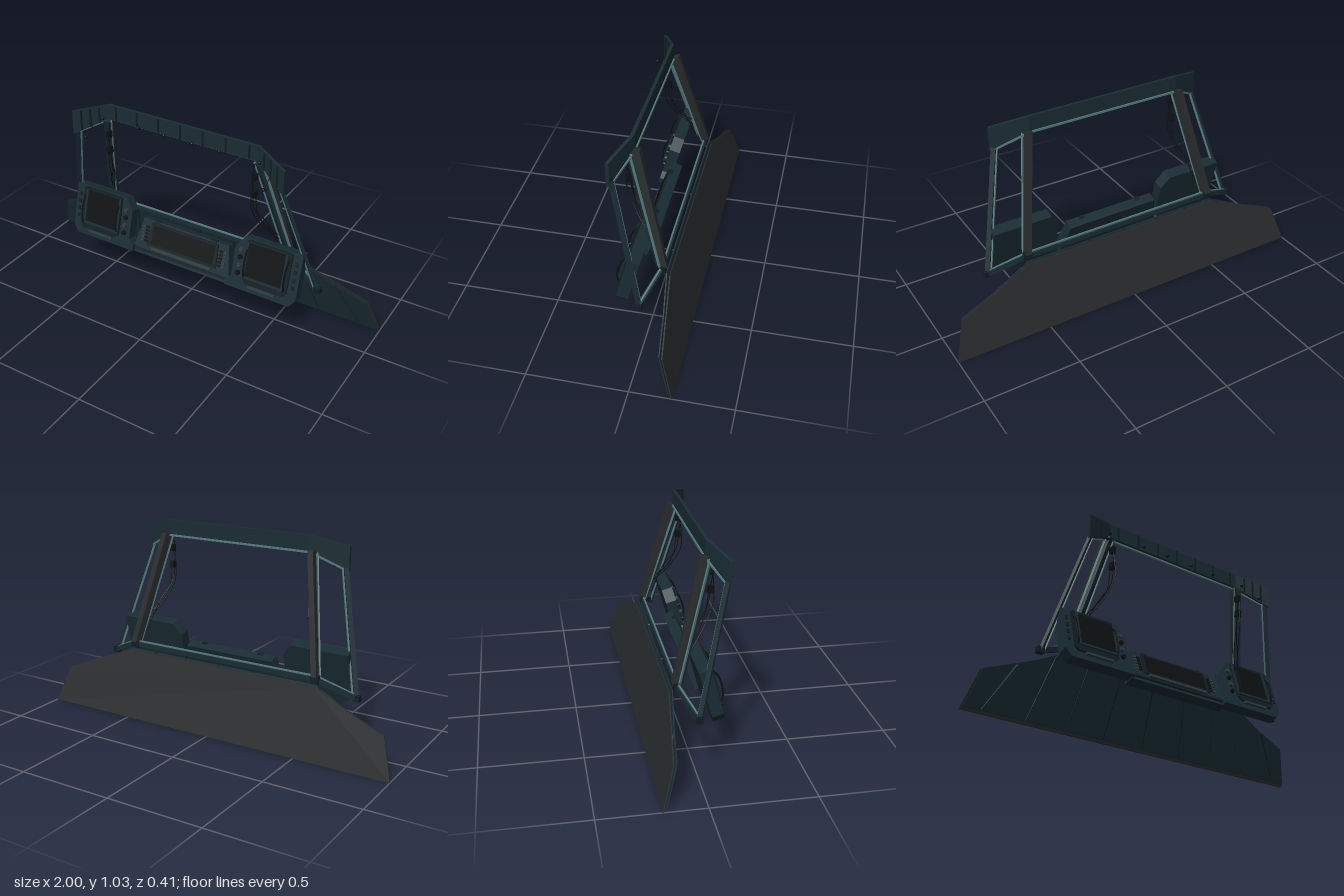
import * as THREE from 'three';
import { ConvexGeometry } from 'three/addons/geometries/ConvexGeometry.js';

const mat = (color) => new THREE.MeshStandardMaterial({ color, flatShading: true });
const teal = mat(0x1a2c34), dark = mat(0x121d23), grey = mat(0x282b2d);
const trim = mat(0x567a7e), black = mat(0x0d1011), knobMat = mat(0x2c3a40);
const V = (x, y, z) => new THREE.Vector3(x, y, z);

function add(parent, name, geometry, material, x = 0, y = 0, z = 0) {
  const m = new THREE.Mesh(geometry, material);
  m.name = name;
  m.position.set(x, y, z);
  parent.add(m);
  return m;
}
const box = (p, name, w, h, d, material, x, y, z) => add(p, name, new THREE.BoxGeometry(w, h, d), material, x, y, z);

// Solid hull around a set of corner points, thickened by an offset
function slab(parent, name, corners, offset, material) {
  const pts = corners.map((c) => V(...c));
  return add(parent, name, new ConvexGeometry([...pts, ...pts.map((p) => p.clone().add(V(...offset)))]), material);
}

// Straight bar with a rectangular section between two points
function bar(parent, name, a, b, w, d, material) {
  const A = V(...a), B = V(...b);
  const m = box(parent, name, w, d, A.distanceTo(B), material);
  m.position.copy(A).add(B).multiplyScalar(0.5);
  m.lookAt(B);
  return m;
}

function plate(parent, name, outline, depth, material, z = 0) {
  const shape = new THREE.Shape(outline.map(([x, y]) => new THREE.Vector2(x, y)));
  const g = new THREE.ExtrudeGeometry(shape, { depth, bevelEnabled: false });
  g.translate(0, 0, z - depth);
  return add(parent, name, g, material);
}

function wire(parent, name, points, r = 0.0025) {
  const curve = new THREE.CatmullRomCurve3(points.map((p) => V(...p)));
  return add(parent, name, new THREE.TubeGeometry(curve, 16, r, 5), black);
}

// Sloping apron: a plain rear skin and a segmented front skin
function buildApron(root) {
  const g = new THREE.Group();
  g.name = 'apron';
  root.add(g);
  const half = [[0, 0], [1, 0], [0.94, 0.19], [0.7, 0.275], [0.55, 0.345], [0, 0.345]];
  const z = (y) => -0.206 + 0.3 * y;
  const full = [...half.slice(1, 5), ...half.slice(1, 5).reverse().map(([x, y]) => [-x, y])];
  slab(g, 'rearSkin', full.map(([x, y]) => [x, y, z(y)]), [0, 0, 0.006], grey);
  const top = (x) => {
    if (x <= 0.55) return 0.35;
    return x <= 0.7 ? 0.35 - (x - 0.55) * 0.5 : 0.275 - (x - 0.7) * 0.354;
  };
  // Seams lean outwards towards the bottom: [bottom x, top x]
  const seams = [[0, 0], [0.235, 0.2], [0.45, 0.39], [0.67, 0.58], [0.9, 0.77], [0.99, 0.935]];
  for (const s of [-1, 1]) {
    for (let i = 0; i < 5; i++) {
      const [b0, t0] = seams[i], [b1, t1] = seams[i + 1], gap = 0.003;
      const c = [[b0 + gap, 0.012], [b1 - gap, 0.012], [t1 - gap, top(t1)], [t0 + gap, top(t0)]];
      if (t0 < 0.55 && t1 > 0.55) c.push([0.55, 0.35]);
      if (t0 < 0.7 && t1 > 0.7) c.push([0.7, 0.275]);
      slab(g, 'apronPanel', c.map(([x, y]) => [s * x, y, z(y) + 0.015]), [0, 0, 0.006], teal);
    }
    seams.slice(s > 0 ? 0 : 1, 5).forEach(([b, t]) =>
      bar(g, 'seamStrip', [s * b, 0.015, z(0.015) + 0.017], [s * t, top(t) - 0.005, z(top(t)) + 0.017], 0.01, 0.006, dark));
  }
}

// Overhead visor: a long middle plate with two wings bent forward
function buildHeader(root) {
  const g = new THREE.Group();
  g.name = 'header';
  root.add(g);
  const x0 = 0.42;
  slab(g, 'headerMiddle', [[-x0, 1.035, 0.09], [x0, 1.035, 0.09], [x0, 0.957, 0.09], [-x0, 0.957, 0.09]], [0, 0, 0.016], teal);
  for (let i = 0; i < 7; i++) {
    box(g, 'headerRib', 0.008, 0.074, 0.006, dark, -0.375 + i * 0.125, 0.996, 0.108);
  }
  bar(g, 'headerTrim', [-0.41, 0.953, 0.088], [0.41, 0.953, 0.088], 0.01, 0.01, trim);
  const lamp = new THREE.SphereGeometry(0.009, 8, 6);
  for (const s of [-1, 1]) {
    slab(g, 'headerWing', [[s * x0, 1.035, 0.09], [s * 0.592, 0.988, 0.165], [s * 0.592, 0.86, 0.165], [s * x0, 0.957, 0.09]],
      [0, 0, 0.016], teal);
    for (const t of [0.25, 0.5, 0.75]) {
      const x = s * (x0 + 0.172 * t), z = 0.109 + 0.075 * t;
      bar(g, 'wingRib', [x, 1.03 - 0.047 * t, z], [x, 0.96 - 0.097 * t, z], 0.008, 0.006, dark);
    }
    for (const x of [0.08, 0.23, 0.44]) add(g, 'lamp', lamp, black, s * x, 0.965, 0.13);
    add(g, 'lamp', lamp, black, s * 0.5, 0.877, 0.198);
    bar(g, 'lampStem', [s * 0.5, 0.877, 0.196], [s * 0.5, 0.91, 0.14], 0.004, 0.004, black);
  }
}

// Window frame: inner pillars, slim outer posts, sills and the hanging cables
function buildFrame(root) {
  for (const s of [-1, 1]) {
    const g = new THREE.Group();
    g.name = s > 0 ? 'leftFrame' : 'rightFrame';
    root.add(g);
    const sec = (x, y, zb, zf) => [[s * x, y, zb], [s * (x + 0.03), y, zb], [s * (x + 0.028), y - 0.01, zf], [s * (x - 0.012), y - 0.01, zf]];
    add(g, 'innerPillar', new ConvexGeometry([...sec(0.415, 0.967, 0.062, 0.1), ...sec(0.525, 0.385, -0.085, -0.055)].map((p) => V(...p))), grey);
    bar(g, 'pillarFacing', [s * 0.425, 0.95, 0.112], [s * 0.535, 0.385, -0.048], 0.04, 0.014, teal);
    for (const d of [-0.018, 0.026]) {
      bar(g, 'pillarTrim', [s * (0.423 + d), 0.95, 0.108], [s * (0.533 + d), 0.38, -0.052], 0.007, 0.012, trim);
    }
    bar(g, 'outerPost', [s * 0.577, 0.88, 0.162], [s * 0.725, 0.285, 0.012], 0.024, 0.014, teal);
    bar(g, 'outerPostTrim', [s * 0.561, 0.88, 0.157], [s * 0.707, 0.285, 0.008], 0.008, 0.01, trim);
    bar(g, 'sideSill', [s * 0.732, 0.285, 0.01], [s * 0.535, 0.375, -0.065], 0.022, 0.026, teal);
    bar(g, 'sideSillTrim', [s * 0.715, 0.306, 0.004], [s * 0.545, 0.388, -0.062], 0.008, 0.008, trim);
    box(g, 'postFoot', 0.035, 0.03, 0.03, dark, s * 0.728, 0.287, 0.01);
    box(g, 'pillarFoot', 0.045, 0.04, 0.03, dark, s * 0.54, 0.37, -0.062);
    bar(g, 'wingTrim', [s * 0.43, 0.948, 0.09], [s * 0.58, 0.868, 0.16], 0.008, 0.01, trim);

    // Clipped equipment and cables
    box(g, 'upperUnit', 0.022, 0.032, 0.028, black, s * 0.415, 0.88, 0.118);
    box(g, 'lowerUnit', 0.022, 0.035, 0.03, black, s * 0.415, 0.79, 0.118).rotation.x = 0.2;
    wire(g, 'cable', [[s * 0.41, 0.945, 0.115], [s * 0.408, 0.87, 0.13], [s * 0.41, 0.8, 0.12]], 0.003);
    wire(g, 'cable', [[s * 0.41, 0.78, 0.12], [s * 0.41, 0.7, 0.105], [s * 0.45, 0.6, 0.04], [s * 0.51, 0.42, -0.015]]);
    wire(g, 'cable', [[s * 0.416, 0.86, 0.13], [s * 0.41, 0.72, 0.135], [s * 0.435, 0.62, 0.09], [s * 0.5, 0.5, 0.0]]);
    wire(g, 'cable', [[s * 0.42, 0.78, 0.11], [s * 0.425, 0.66, 0.09], [s * 0.47, 0.57, 0.045], [s * 0.5, 0.53, 0.01]]);
  }
  bar(root, 'frontSill', [-0.54, 0.37, -0.063], [0.54, 0.37, -0.063], 0.02, 0.024, teal);
  bar(root, 'frontSillTrim', [-0.53, 0.386, -0.06], [0.53, 0.386, -0.06], 0.008, 0.008, trim);
}

// Display console at each side, built on a tilted face
function buildSideConsole(root, s) {
  const g = new THREE.Group();
  g.name = s > 0 ? 'leftConsole' : 'rightConsole';
  g.position.set(0, 0.235, 0.148);
  g.rotation.x = -0.27;
  root.add(g);
  const m = (pts) => pts.map(([x, y]) => [s * x, y]);
  plate(g, 'consoleBody', m([[0.64, 0], [0.67, 0.04], [0.67, 0.278], [0.355, 0.278], [0.31, 0.215], [0.31, 0.06], [0.28, 0.03], [0.28, 0]]), 0.058, teal);
  plate(g, 'bezel', m([[0.62, 0.06], [0.62, 0.265], [0.61, 0.272], [0.385, 0.272], [0.375, 0.265], [0.375, 0.06], [0.4, 0.04], [0.6, 0.04]]), 0.01, dark, 0.01);
  box(g, 'screen', 0.195, 0.172, 0.006, black, s * 0.488, 0.17, 0.011);
  for (const x of [0.382, 0.594]) box(g, 'bezelRail', 0.012, 0.18, 0.012, teal, s * x, 0.17, 0.012);
  box(g, 'bezelLip', 0.22, 0.012, 0.012, teal, s * 0.488, 0.077, 0.012);
  box(g, 'lowerGrip', 0.15, 0.012, 0.014, knobMat, s * 0.488, 0.032, 0.008);
  for (const x of [0.385, 0.605]) {
    wire(g, 'grabHandle', [[s * x, 0.07, 0.01], [s * x, 0.1, 0.026], [s * x, 0.16, 0.032], [s * x, 0.21, 0.024], [s * x, 0.235, 0.008]], 0.005);
  }
  const knob = new THREE.CylinderGeometry(0.011, 0.013, 0.014, 12).rotateX(Math.PI / 2);
  for (let i = 0; i < 4; i++) add(g, 'knob', knob, i % 2 ? knobMat : black, s * 0.345, 0.085 + i * 0.042, 0.006);
  for (let i = 0; i < 4; i++) box(g, 'sideSwitch', 0.014, 0.02, 0.008, dark, s * 0.645, 0.1 + i * 0.04, 0.002);
}

// Wide middle console with a letterbox screen and key columns
function buildCentreConsole(root) {
  const g = new THREE.Group();
  g.name = 'centreConsole';
  g.position.set(0, 0.225, 0.128);
  g.rotation.x = -0.37;
  root.add(g);
  plate(g, 'consoleBody', [[-0.295, 0], [0.295, 0], [0.288, 0.03], [0.255, 0.193], [-0.255, 0.193], [-0.288, 0.03]], 0.053, teal);
  plate(g, 'bezel', [[-0.21, 0.055], [0.21, 0.055], [0.2, 0.182], [-0.2, 0.182]], 0.008, dark, 0.008);
  box(g, 'screen', 0.37, 0.1, 0.005, black, 0, 0.12, 0.008);
  box(g, 'lowerLip', 0.56, 0.012, 0.012, dark, 0, 0.022, 0.003);
  box(g, 'armRest', 0.36, 0.014, 0.012, knobMat, 0, 0.046, 0.006);
  for (const s of [-1, 1]) {
    for (let r = 0; r < 5; r++) {
      for (const c of [0, 1]) box(g, 'key', 0.018, 0.011, 0.008, c ? knobMat : black, s * (0.222 + c * 0.022), 0.075 + r * 0.019, 0.002);
    }
    box(g, 'topClip', 0.03, 0.012, 0.02, dark, s * 0.17, 0.19, -0.008);
  }
}

export function createModel() {
  const root = new THREE.Group();
  root.name = 'cockpitConsole';
  buildApron(root);
  buildHeader(root);
  buildFrame(root);
  for (const s of [-1, 1]) buildSideConsole(root, s);
  buildCentreConsole(root);
  return root;
}
